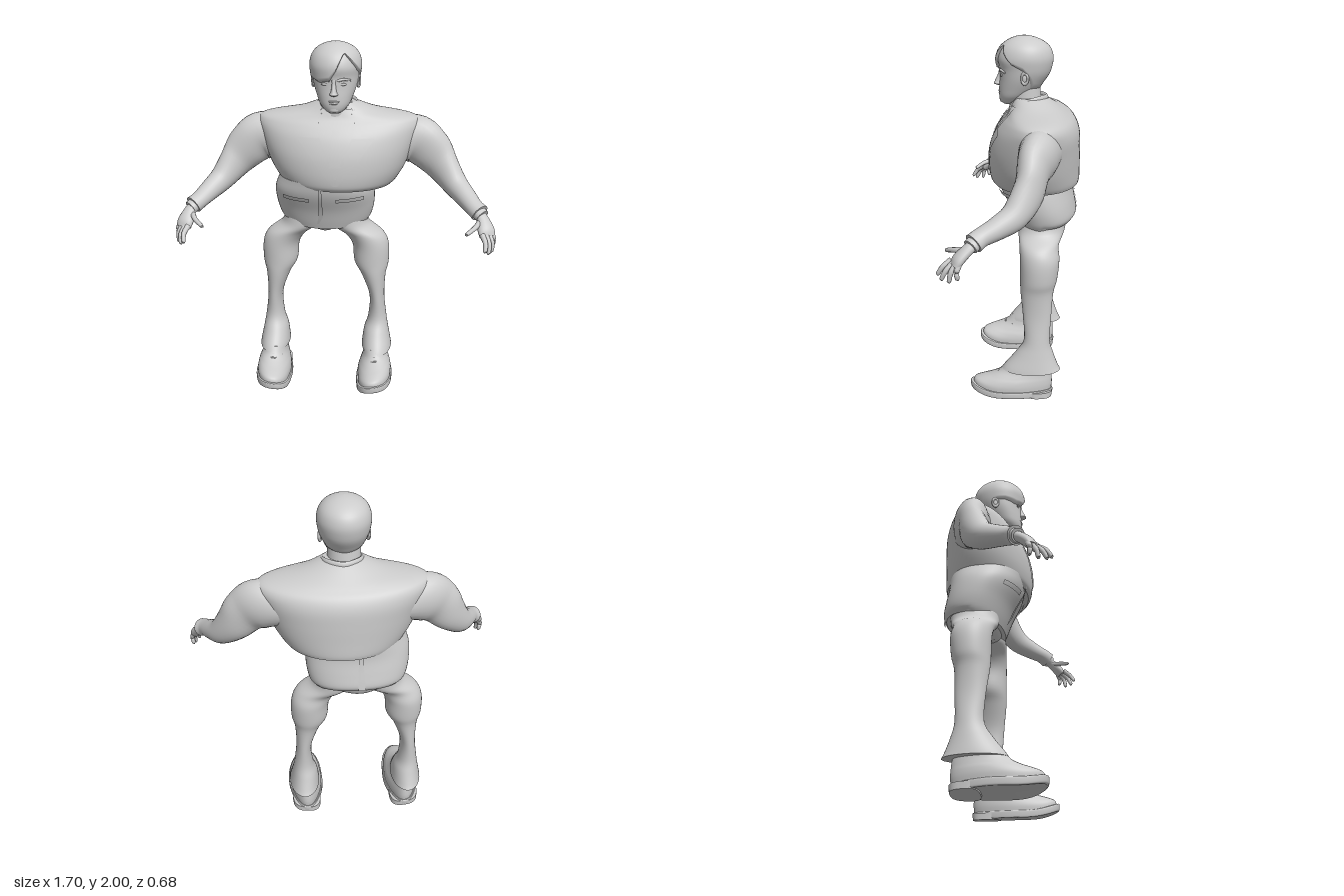
import * as THREE from 'three';

const V = (x, y, z) => new THREE.Vector3(x, y, z);

// Smoothly subdivide a list of rings [x, y, z, radiusU, radiusV]
function dense(pts, k = 5) {
  const curve = f => new THREE.CatmullRomCurve3(pts.map(f), false, 'catmullrom', 0.5);
  const pos = curve(p => V(p[0], p[1], p[2])), rad = curve(p => V(p[3], p[4], 0));
  const n = (pts.length - 1) * k, out = [];
  for (let i = 0; i <= n; i++) {
    const p = pos.getPoint(i / n), r = rad.getPoint(i / n);
    out.push([p.x, p.y, p.z, Math.max(r.x, 0.001), Math.max(r.y, 0.001)]);
  }
  return out;
}

// Profile rows [y, centreX, halfWidth, zFront, zBack] to rings
const body = rows => dense(rows.map(([y, x, w, f, b]) => [x, y, (f + b) / 2, w, (f - b) / 2]));

const sgnPow = (c, e) => Math.sign(c) * Math.abs(c) ** e;

function makeGeo(pos, idx) {
  const g = new THREE.BufferGeometry();
  g.setAttribute('position', new THREE.Float32BufferAttribute(pos, 3));
  g.setIndex(idx);
  g.computeVertexNormals();
  return g;
}

// Skin superelliptic rings; upright rings stay horizontal, others follow the path
function skin(rings, { upright = true, n = 40, p = 2, warp = null } = {}) {
  const pos = [], idx = [], m = rings.length;
  rings.forEach(([x, y, z, ru, rv], i) => {
    let u = V(1, 0, 0), v = V(0, 0, 1);
    if (!upright) {
      const a = rings[Math.max(i - 1, 0)], b = rings[Math.min(i + 1, m - 1)];
      const t = V(b[0] - a[0], b[1] - a[1], b[2] - a[2]).normalize();
      u = V(0, 1, 0).cross(t).normalize();
      v = u.clone().cross(t);
    }
    for (let j = 0; j < n; j++) {
      const a = j / n * Math.PI * 2;
      const q = V(x, y, z).addScaledVector(u, ru * sgnPow(Math.cos(a), 2 / p)).addScaledVector(v, rv * sgnPow(Math.sin(a), 2 / p));
      if (warp) warp(q);
      pos.push(q.x, q.y, q.z);
    }
  });
  for (let i = 0; i < m - 1; i++) for (let j = 0; j < n; j++) {
    const a = i * n + j, b = i * n + (j + 1) % n;
    idx.push(a, a + n, b, b, a + n, b + n);
  }
  // Caps own their vertices so their rims stay crisp
  for (const [row, flip] of [[0, false], [m - 1, true]]) {
    const start = pos.length / 3, c = V(0, 0, 0);
    for (let j = 0; j < n; j++) {
      const k = (row * n + j) * 3;
      c.add(V(pos[k], pos[k + 1], pos[k + 2]));
      pos.push(pos[k], pos[k + 1], pos[k + 2]);
    }
    pos.push(c.x / n, c.y / n, c.z / n);
    for (let j = 0; j < n; j++) {
      const a = start + j, b = start + (j + 1) % n;
      flip ? idx.push(start + n, b, a) : idx.push(start + n, a, b);
    }
  }
  return makeGeo(pos, idx);
}

const tube = (pts, n = 12, k = 5) => skin(dense(pts, k), { upright: false, n });

// Cloth strip lying on a skinned body; rows are [y, xLeft, xRight]
function patch(rings, rows, lift, side = 1) {
  const zAt = (x, y) => {
    let i = rings.findIndex(r => r[1] >= y);
    i = Math.max(i < 0 ? rings.length - 1 : i, 1);
    const a = rings[i - 1], b = rings[i], t = THREE.MathUtils.clamp((y - a[1]) / (b[1] - a[1]), 0, 1);
    const [cx, , cz, w, d] = a.map((s, k) => s + (b[k] - s) * t);
    return cz + side * d * Math.sqrt(Math.max(0, 1 - ((x - cx) / w) ** 2)) + side * lift;
  };
  const pos = [], idx = [], nx = 8, ny = (rows.length - 1) * 6;
  for (let i = 0; i <= ny; i++) {
    const r = Math.min(Math.floor(i / 6), rows.length - 2), t = i / 6 - r;
    const [y, a, b] = rows[r].map((s, k) => s + (rows[r + 1][k] - s) * t);
    for (let j = 0; j <= nx; j++) {
      const x = a + (b - a) * j / nx;
      pos.push(x, y, zAt(x, y));
      if (i < ny && j < nx) {
        const q = i * (nx + 1) + j, s = q + nx + 1;
        side > 0 ? idx.push(q, q + 1, s, q + 1, s + 1, s) : idx.push(q, s, q + 1, q + 1, s, s + 1);
      }
    }
  }
  return makeGeo(pos, idx);
}

function ball(x, y, z, rx, ry, rz) {
  return new THREE.SphereGeometry(1, 20, 14).scale(rx, ry, rz).translate(x, y, z);
}

function mirrored(geo) {
  const g = geo.clone().scale(-1, 1, 1), a = g.index.array;
  for (let i = 0; i < a.length; i += 3) [a[i], a[i + 1]] = [a[i + 1], a[i]];
  g.computeVertexNormals();
  return g;
}

export function createModel() {
  const model = new THREE.Group();
  const mat = new THREE.MeshStandardMaterial({ color: 0xcccccc, side: THREE.DoubleSide });
  const group = (name, x = 0) => {
    const g = new THREE.Group();
    g.name = name; g.position.x = x; model.add(g);
    return g;
  };
  const add = (parent, name, geo) => {
    const m = new THREE.Mesh(geo, mat);
    m.name = name; parent.add(m);
  };
  const pair = (parent, name, geo) => {
    add(parent, name + 'Left', geo);
    add(parent, name + 'Right', mirrored(geo));
  };

  // Broad upper jacket
  const jacket = group('upperJacket');
  const chest = body([[1.23, 0, 0.3, 0.13, -0.33], [1.26, 0, 0.325, 0.148, -0.335], [1.33, 0, 0.365, 0.155, -0.335],
    [1.42, 0, 0.4, 0.147, -0.335], [1.51, 0, 0.43, 0.118, -0.33], [1.57, 0, 0.44, 0.08, -0.305],
    [1.605, 0, 0.4, 0.05, -0.265], [1.64, 0, 0.22, 0.035, -0.215], [1.685, 0, 0.1, 0.02, -0.15]]);
  add(jacket, 'chest', skin(chest, { n: 64 }));
  add(jacket, 'shirt', patch(chest, [[1.31, -0.005, 0.005], [1.45, -0.055, 0.055], [1.57, -0.1, 0.1], [1.65, -0.085, 0.085]], 0.002));
  add(jacket, 'tie', patch(chest, [[1.32, -0.004, 0.004], [1.38, -0.034, 0.034], [1.56, -0.018, 0.018], [1.57, -0.025, 0.025], [1.615, -0.034, 0.034]], 0.006));
  pair(jacket, 'lapel', patch(chest, [[1.27, -0.005, 0.012], [1.4, 0.03, 0.11], [1.52, 0.085, 0.205], [1.535, 0.09, 0.13], [1.6, 0.1, 0.15], [1.65, 0.08, 0.13]], 0.006));
  pair(jacket, 'shirtCollar', patch(chest, [[1.54, 0.06, 0.065], [1.6, 0.03, 0.1], [1.66, 0.025, 0.08]], 0.009));
  add(jacket, 'breastPocket', patch(chest, [[1.505, 0.13, 0.2], [1.52, 0.13, 0.2]], 0.005));
  add(jacket, 'jacketCollar', tube([[0.08, 1.625, 0.035, 0.008, 0.012], [0.105, 1.655, -0.03, 0.01, 0.022], [0.08, 1.675, -0.11, 0.011, 0.024],
    [0, 1.675, -0.15, 0.011, 0.024], [-0.08, 1.675, -0.11, 0.011, 0.024], [-0.105, 1.655, -0.03, 0.01, 0.022], [-0.08, 1.625, 0.035, 0.008, 0.012]]));

  // Lower jacket and hips, set slightly to one side; the hem dips at the front
  const skirtGroup = group('lowerJacket');
  const hem = q => {
    const low = Math.max(0, (1.2 - q.y) / 0.2), across = 1 - ((q.x + 0.073) / 0.27) ** 2;
    q.y -= low * (0.025 * across * Math.sign(q.z + 0.15) + 0.005);
  };
  const skirt = body([[0.995, -0.07, 0.24, 0.01, -0.31], [1.03, -0.072, 0.262, 0.025, -0.325], [1.1, -0.074, 0.277, 0.055, -0.315],
    [1.19, -0.076, 0.277, 0.105, -0.3], [1.27, -0.074, 0.25, 0.125, -0.3]]);
  add(skirtGroup, 'skirt', skin(skirt, { n: 56, p: 2.15, warp: hem }));
  add(skirtGroup, 'frontOverlap', patch(skirt, [[1.0, -0.11, -0.1], [1.05, -0.1, -0.075], [1.24, -0.09, -0.075]], 0.014));
  for (const x of [-0.22, 0.075]) add(skirtGroup, 'pocketFlap', patch(skirt, [[1.155, x - 0.075, x + 0.075], [1.18, x - 0.075, x + 0.075]], 0.018));
  add(skirtGroup, 'backVent', patch(skirt, [[1.03, -0.1, -0.06], [1.24, -0.085, -0.065]], 0.006, -1));
  add(skirtGroup, 'hips', skin(body([[0.93, -0.075, 0.05, -0.05, -0.2], [0.955, -0.075, 0.13, -0.02, -0.26], [1.0, -0.075, 0.225, 0, -0.285], [1.04, -0.075, 0.24, 0, -0.29]])));

  // Sleeves and hands
  const arms = group('arms');
  pair(arms, 'sleeve', tube([[0.26, 1.46, -0.13, 0.12, 0.1], [0.41, 1.465, -0.12, 0.1, 0.135], [0.49, 1.42, -0.1, 0.08, 0.125], [0.565, 1.335, -0.08, 0.07, 0.1],
    [0.64, 1.245, -0.02, 0.064, 0.072], [0.695, 1.2, 0.06, 0.056, 0.056], [0.735, 1.17, 0.13, 0.05, 0.046], [0.765, 1.15, 0.165, 0.052, 0.048]], 28));
  pair(arms, 'shirtCuff', tube([[0.75, 1.157, 0.15, 0.043, 0.038], [0.778, 1.138, 0.178, 0.041, 0.036]], 20));
  pair(arms, 'palm', tube([[0.76, 1.15, 0.16, 0.03, 0.026], [0.78, 1.125, 0.19, 0.034, 0.026], [0.795, 1.085, 0.23, 0.046, 0.027], [0.803, 1.055, 0.25, 0.044, 0.02]], 18));
  const fingers = [[0.773, 1.07, 0.268, 0.787, 1.005, 0.332], [0.795, 1.06, 0.26, 0.808, 0.988, 0.312],
    [0.812, 1.06, 0.245, 0.827, 0.984, 0.275], [0.826, 1.065, 0.228, 0.834, 1.0, 0.235], [0.762, 1.115, 0.205, 0.692, 1.085, 0.3]];
  for (const [a, b, c, d, e, f] of fingers) {
    pair(arms, 'finger', tube([[a, b, c, 0.015, 0.015], [(a + d) / 2 + 0.008, (b + e) / 2 + 0.004, (c + f) / 2 + 0.006, 0.013, 0.013],
      [d, e, f, 0.01, 0.01], [d + (d - a) * 0.06, e + (e - b) * 0.06, f + (f - c) * 0.06, 0.003, 0.003]], 10, 4));
  }

  // Trouser legs: [y, inner x, outer x, front z, back z]
  const legs = group('legs', -0.075);
  const leg = [[0.18, 0.22, 0.397, 0.075, -0.25], [0.21, 0.222, 0.392, 0.055, -0.235], [0.28, 0.232, 0.378, 0.0, -0.21], [0.36, 0.255, 0.364, -0.045, -0.19],
    [0.5, 0.26, 0.348, -0.04, -0.195], [0.64, 0.212, 0.352, -0.025, -0.205], [0.72, 0.168, 0.368, -0.022, -0.225], [0.83, 0.155, 0.366, -0.02, -0.235],
    [0.9, 0.11, 0.335, -0.015, -0.23], [0.96, 0.03, 0.255, -0.005, -0.26], [1.03, 0.02, 0.23, -0.005, -0.27]];
  pair(legs, 'trouserLeg', skin(body(leg.map(([y, a, b, f, k]) => [y, (a + b) / 2, (b - a) / 2, f, k]))));

  // Shoes: narrow at the heel, toe raised, rolled inward
  const bend = q => {
    const toe = Math.max(0, (q.z - 0.1) / 0.16), heel = Math.max(0, -q.z / 0.2);
    q.x = 0.3 + (q.x - 0.3) * (1 - 0.25 * heel) - 0.012 * toe;
    q.y += 0.035 * toe * toe + 0.13 * (q.x - 0.3);
  };
  const foot = rows => body(rows.map(([y, w, f, b]) => [y, 0.3, w, f, b]));
  pair(legs, 'sole', skin(foot([[0.014, 0.1, 0.25, -0.2], [0.02, 0.105, 0.258, -0.207], [0.045, 0.106, 0.26, -0.21], [0.052, 0.103, 0.257, -0.205]]), { p: 2.3, warp: bend }));
  pair(legs, 'heel', skin(foot([[0.01, 0.1, -0.06, -0.205], [0.045, 0.1, -0.05, -0.207]]), { p: 2.8, warp: bend }));
  pair(legs, 'shoeUpper', skin(foot([[0.045, 0.097, 0.245, -0.2], [0.08, 0.098, 0.235, -0.205], [0.11, 0.092, 0.195, -0.205],
    [0.135, 0.082, 0.145, -0.203], [0.165, 0.072, 0.09, -0.2], [0.21, 0.064, 0.055, -0.19]]), { p: 2.2, warp: bend }));
  for (let i = 0; i < 3; i++) {
    const y = 0.142 + i * 0.016, z = 0.112 - i * 0.022;
    pair(legs, 'lace', tube([[0.25, y - 0.02, z - 0.015, 0.005, 0.005], [0.3, y, z + 0.008, 0.005, 0.005], [0.35, y - 0.01, z - 0.015, 0.005, 0.005]], 8));
  }

  // Head
  const head = group('head', -0.01);
  const skull = body([[1.645, 0, 0.03, 0.075, 0.02], [1.66, 0, 0.052, 0.093, -0.01], [1.69, 0, 0.078, 0.1, -0.06], [1.73, 0, 0.096, 0.1, -0.105],
    [1.78, 0, 0.113, 0.096, -0.14], [1.83, 0, 0.122, 0.096, -0.16], [1.88, 0, 0.127, 0.105, -0.17], [1.93, 0, 0.116, 0.087, -0.158],
    [1.965, 0, 0.087, 0.05, -0.122], [1.985, 0, 0.045, 0.015, -0.075]]);
  add(head, 'face', skin(skull, { n: 48 }));
  add(head, 'neck', skin(body([[1.58, 0.005, 0.1, 0.045, -0.13], [1.66, 0, 0.088, 0.045, -0.125], [1.75, 0, 0.085, 0.05, -0.115]])));
  add(head, 'nose', skin(body([[1.742, 0, 0.014, 0.11, 0.08], [1.75, 0, 0.022, 0.128, 0.07], [1.765, 0, 0.015, 0.122, 0.07], [1.8, 0, 0.011, 0.106, 0.07], [1.825, 0, 0.014, 0.1, 0.07]]), { n: 16 }));
  add(head, 'upperLip', ball(0, 1.713, 0.095, 0.03, 0.005, 0.009));
  add(head, 'lowerLip', ball(0, 1.702, 0.095, 0.024, 0.006, 0.008));
  add(head, 'chin', ball(0, 1.668, 0.082, 0.028, 0.018, 0.016));
  pair(head, 'eye', ball(0.046, 1.8, 0.084, 0.019, 0.007, 0.006));
  pair(head, 'brow', tube([[0.02, 1.82, 0.094, 0.006, 0.007], [0.05, 1.826, 0.086, 0.007, 0.007], [0.085, 1.818, 0.064, 0.004, 0.005]], 10));
  pair(head, 'ear', new THREE.TorusGeometry(0.022, 0.008, 10, 20).scale(0.75, 1.25, 1).rotateY(1.3).translate(0.12, 1.795, -0.04));
  pair(head, 'earInner', ball(0.116, 1.793, -0.04, 0.008, 0.024, 0.015));

  // Hair: shell over the skull with a side parting and a fringe over one eye
  const hairline = [[0, 1.83], [25, 1.86], [45, 1.91], [62, 1.955], [72, 1.93], [85, 1.87], [100, 1.82], [130, 1.805], [160, 1.815], [185, 1.81], [215, 1.73], [270, 1.71], [325, 1.73], [360, 1.83]];
  const edge = d => {
    const i = Math.max(1, hairline.findIndex(h => h[0] >= d)), [a, b] = [hairline[i - 1], hairline[i]];
    return THREE.MathUtils.mapLinear(d, a[0], b[0], a[1], b[1]);
  };
  const shell = body([[1.69, 0, 0.085, 0.1, -0.1], [1.74, 0, 0.104, 0.107, -0.122], [1.8, 0, 0.124, 0.112, -0.163], [1.84, 0, 0.133, 0.117, -0.178], [1.89, 0, 0.137, 0.119, -0.185],
    [1.94, 0, 0.122, 0.098, -0.168], [1.975, 0, 0.088, 0.058, -0.125], [1.995, 0, 0.04, 0.01, -0.07], [2.0, 0, 0.001, -0.029, -0.031]]);
  const pos = [], idx = [], n = 72, rows = 24;
  for (let i = 0; i <= rows; i++) for (let j = 0; j < n; j++) {
    const d = j / n * 360, a = d * Math.PI / 180, low = edge(d);
    const y = low + (2 - low) * Math.sin(i / rows * Math.PI / 2);
    const k = Math.max(1, shell.findIndex(r => r[1] >= y - 1e-6)), p = shell[k - 1], q = shell[k];
    const t = THREE.MathUtils.clamp((y - p[1]) / (q[1] - p[1]), 0, 1), r = p.map((s, m) => s + (q[m] - s) * t);
    const tuck = i === 0 ? 0.9 : 1;
    pos.push(r[0] + r[3] * tuck * Math.cos(a), y, r[2] + r[4] * tuck * Math.sin(a));
    const c = i * n + j, e = i * n + (j + 1) % n;
    if (i < rows) idx.push(c, c + n, e, e, c + n, e + n);
  }
  add(head, 'hair', makeGeo(pos, idx));
  return model;
}
